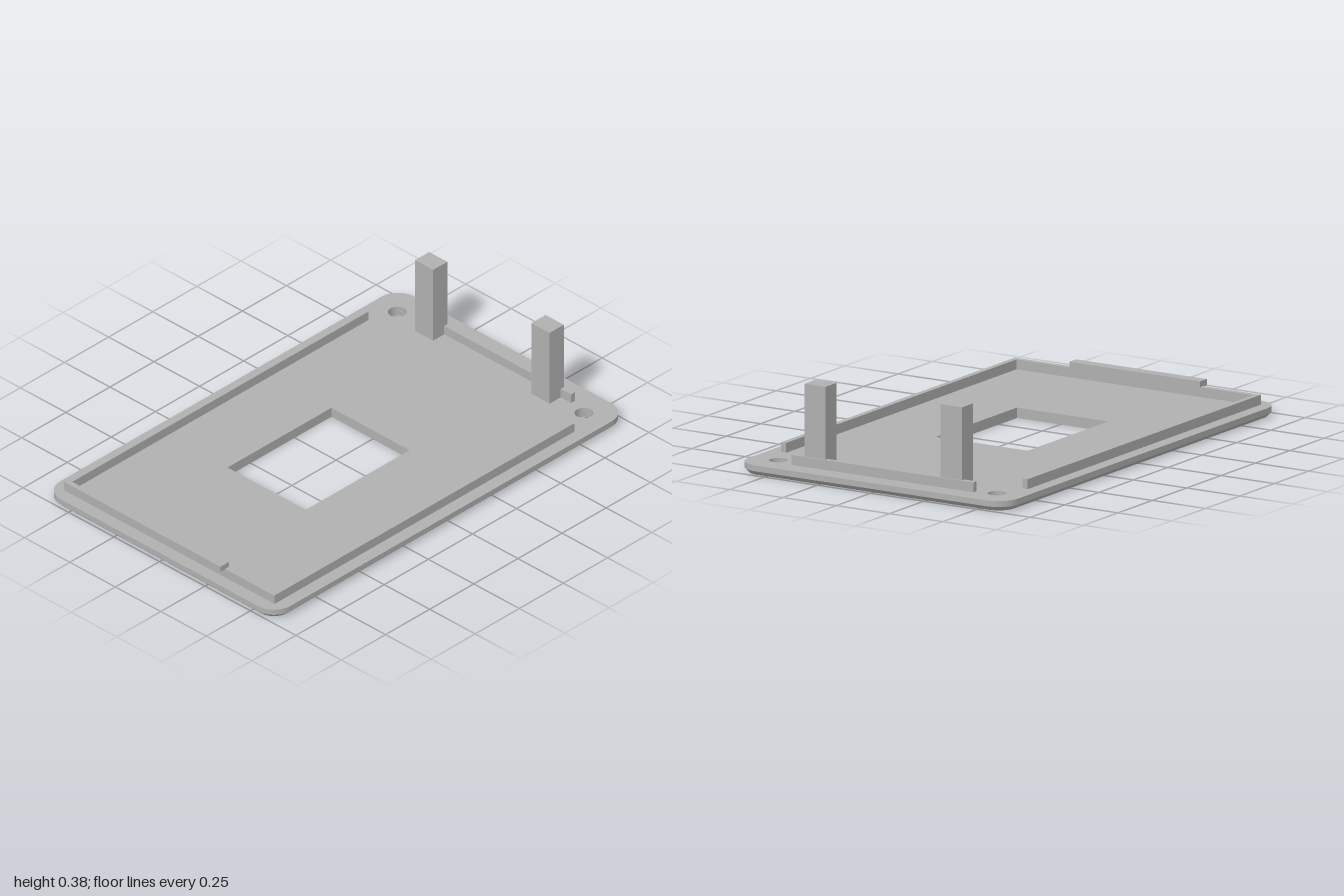
import * as THREE from 'three';
import { toCreasedNormals } from 'three/addons/utils/BufferGeometryUtils.js';

const HX = 1, HZ = 0.633, R = 0.09;      // plate half sizes and corner radius
const TOP = 0.042, CHAMFER = 0.018;

function plateShape() {
  const s = new THREE.Shape();
  const cx = HX - R, cy = HZ - R;
  s.absarc(cx, cy, R, 0, Math.PI / 2);
  s.absarc(-cx, cy, R, Math.PI / 2, Math.PI);
  s.absarc(-cx, -cy, R, Math.PI, Math.PI * 1.5);
  s.absarc(cx, -cy, R, Math.PI * 1.5, Math.PI * 2);

  // display window
  const w = new THREE.Path();
  w.moveTo(-0.38, -0.203);
  w.lineTo(-0.38, 0.227);
  w.lineTo(0.208, 0.227);
  w.lineTo(0.208, -0.203);
  w.closePath();
  s.holes.push(w);

  // screw holes
  for (const side of [-1, 1]) {
    const h = new THREE.Path();
    h.absarc(0.876, side * 0.513, 0.037, 0, Math.PI * 2, true);
    s.holes.push(h);
  }
  return s;
}

// Plate in two layers; the lowest outer outline is drawn in to form the chamfer
function plateGeometry() {
  const g = new THREE.ExtrudeGeometry(plateShape(), {
    depth: TOP, steps: 2, bevelEnabled: false, curveSegments: 12,
  });
  const p = g.attributes.position;
  for (let i = 0; i < p.count; i++) {
    const x = p.getX(i), y = p.getY(i), z = p.getZ(i);
    if (Math.abs(z - TOP / 2) < 1e-4) p.setZ(i, CHAMFER);
    if (z > 1e-4) continue;
    const cx = THREE.MathUtils.clamp(x, R - HX, HX - R);
    const cy = THREE.MathUtils.clamp(y, R - HZ, HZ - R);
    if (Math.hypot(x - cx, y - cy) < R - 0.001) continue;
    const k = (R - CHAMFER) / R;
    p.setXY(i, cx + (x - cx) * k, cy + (y - cy) * k);
  }
  g.rotateX(-Math.PI / 2);
  return toCreasedNormals(g, 0.5);
}

export function createModel() {
  const group = new THREE.Group();
  group.name = 'enclosureLid';
  const grey = new THREE.MeshStandardMaterial({ color: 0xb0b0b0 });
  grey.name = 'grey plastic';

  const add = (name, geometry) => {
    const mesh = new THREE.Mesh(geometry, grey);
    mesh.name = name;
    group.add(mesh);
  };
  // box given by its extents
  const box = (name, x0, x1, y0, y1, z0, z1) => {
    const g = new THREE.BoxGeometry(x1 - x0, y1 - y0, z1 - z0);
    g.translate((x0 + x1) / 2, (y0 + y1) / 2, (z0 + z1) / 2);
    add(name, g);
  };

  add('plate', plateGeometry());

  // locating rails standing on the plate
  const railTop = 0.082;
  box('backRail', -0.945, 0.755, TOP, railTop, -0.578, -0.555);
  box('frontRail', -0.945, 0.755, TOP, railTop, 0.555, 0.578);
  box('rightRail', -0.945, -0.922, TOP, railTop, -0.555, 0.555);
  box('leftRail', 0.891, 0.914, TOP, railTop, -0.427, 0.427);

  // snap lip on top of the right rail
  box('snapLip', -0.971, -0.922, 0.08, 0.105, -0.307, 0.307);

  // tall posts
  box('backPost', 0.829, 0.909, TOP, 0.378, -0.37, -0.27);
  box('frontPost', 0.829, 0.909, TOP, 0.378, 0.27, 0.37);

  return group;
}
